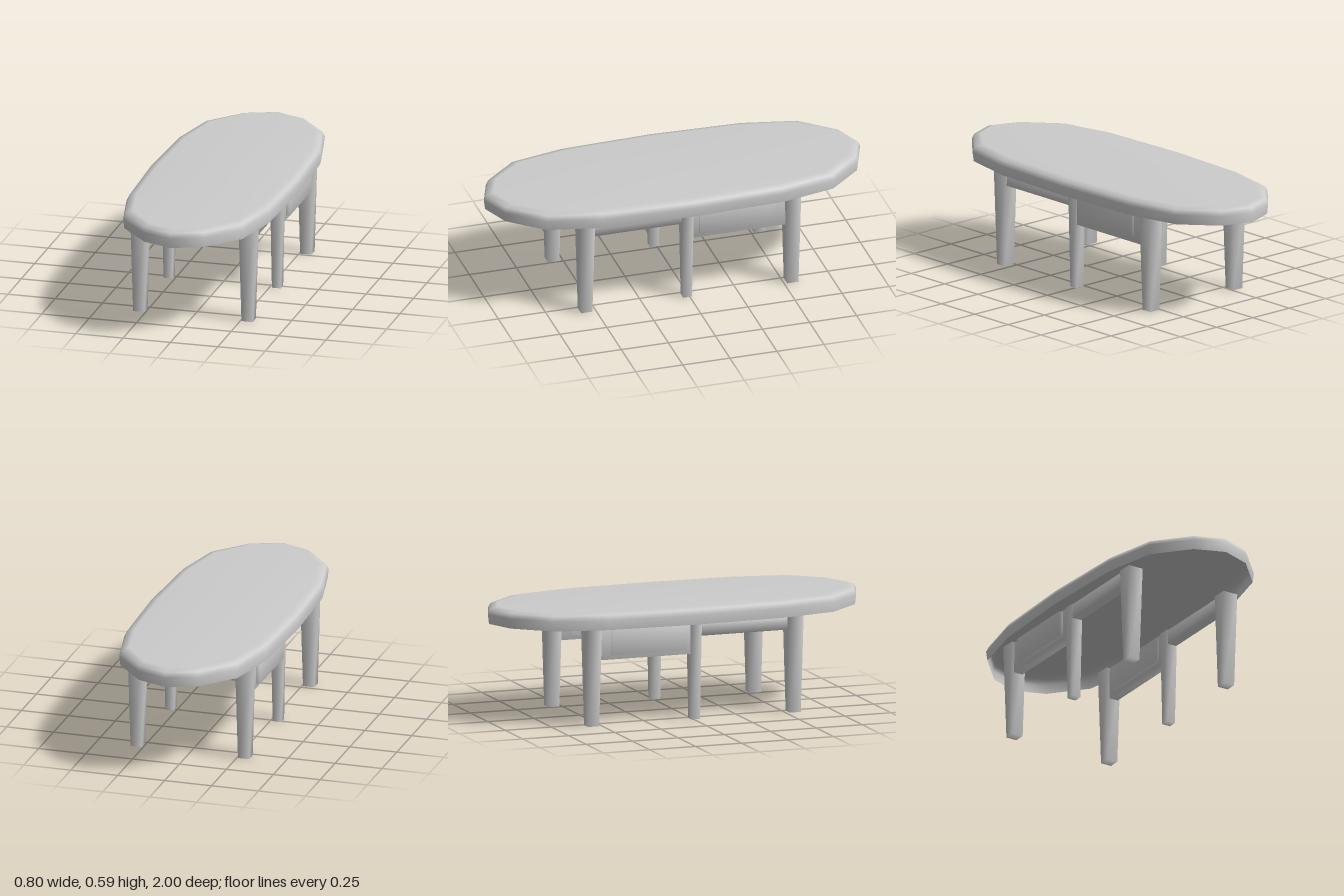
import * as THREE from 'three';
import { mergeVertices } from 'three/addons/utils/BufferGeometryUtils.js';

const material = new THREE.MeshStandardMaterial({ color: 0xcccccc });
const shellMaterial = new THREE.MeshStandardMaterial({ color: 0xcccccc, side: THREE.DoubleSide });

// Box with shared corners, so it shades softly; the lower end can taper.
function softBox(name, w, h, d, x, y, z, taper = 1) {
  let geo = new THREE.BoxGeometry(w, h, d);
  geo.deleteAttribute('normal');
  geo.deleteAttribute('uv');
  geo = mergeVertices(geo);
  const p = geo.attributes.position;
  for (let i = 0; i < p.count; i++) {
    if (p.getY(i) < 0) p.setXYZ(i, p.getX(i) * taper, p.getY(i), p.getZ(i) * taper);
  }
  geo.computeVertexNormals();
  const mesh = new THREE.Mesh(geo, material);
  mesh.name = name;
  mesh.position.set(x, y, z);
  return mesh;
}

// Sixteen-sided oval shell with a rounded rim, open underneath.
function tableTop() {
  const quarter = [[0, 1], [0.16, 0.94], [0.316, 0.765], [0.379, 0.48]];
  const outline = [
    ...quarter,
    [0.398, 0],
    ...quarter.slice(1).reverse().map(([x, z]) => [x, -z]),
  ];
  outline.push([0, -1], ...outline.slice(1).reverse().map(([x, z]) => [-x, z]));
  const n = outline.length;

  // inset from the widest line, height
  const profile = [[0.006, 0.505], [0, 0.555], [0.012, 0.581], [0.05, 0.592]];
  const pos = [];
  const index = [];
  for (const [inset, y] of profile) {
    for (const [x, z] of outline) pos.push(x * (1 - inset / 0.4), y, z * (1 - inset));
  }
  for (let r = 0; r < profile.length - 1; r++) {
    for (let i = 0; i < n; i++) {
      const a = r * n + i, b = r * n + (i + 1) % n;
      index.push(a, b, b + n, a, b + n, a + n);
    }
  }
  // flat upper surface
  const last = (profile.length - 1) * n;
  const centre = pos.length / 3;
  pos.push(0, 0.594, 0);
  for (let i = 0; i < n; i++) index.push(last + i, last + (i + 1) % n, centre);

  const geo = new THREE.BufferGeometry();
  geo.setAttribute('position', new THREE.Float32BufferAttribute(pos, 3));
  geo.setIndex(index);
  geo.computeVertexNormals();
  const mesh = new THREE.Mesh(geo, shellMaterial);
  mesh.name = 'tableTop';
  return mesh;
}

export function createModel() {
  const group = new THREE.Group();
  group.name = 'table';
  group.add(tableTop());

  for (const [label, s] of [['left', 1], ['right', -1]]) {
    const side = new THREE.Group();
    side.name = label + 'Side';

    // tapered legs
    side.add(softBox('frontLeg', 0.083, 0.507, 0.083, s * 0.286, 0.2535, 0.55, 0.72));
    side.add(softBox('middleLeg', 0.062, 0.507, 0.062, s * 0.286, 0.2535, 0.012, 0.75));
    side.add(softBox('backLeg', 0.083, 0.507, 0.083, s * 0.286, 0.2535, -0.545, 0.72));

    // shallow rail in front, deep rail behind
    side.add(softBox('frontRail', 0.05, 0.076, 0.51, s * 0.288, 0.468, 0.275));
    side.add(softBox('backRail', 0.05, 0.166, 0.51, s * 0.288, 0.423, -0.262));

    // drawer front and its inner face
    side.add(softBox('drawerFront', 0.04, 0.134, 0.4, s * 0.314, 0.431, -0.248));
    side.add(softBox('drawerBack', 0.02, 0.134, 0.4, s * 0.264, 0.431, -0.248));
    group.add(side);
  }
  return group;
}
